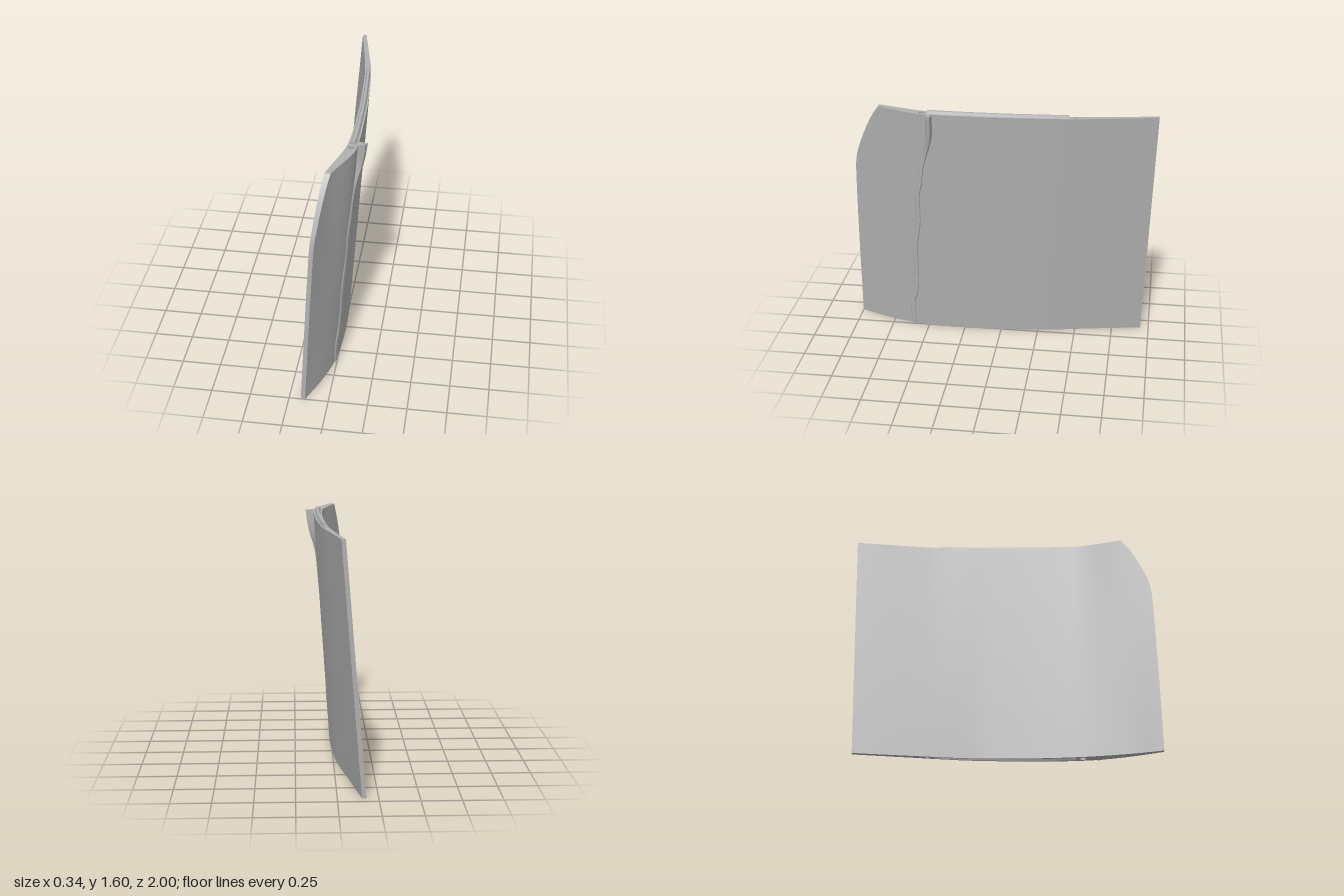
import * as THREE from 'three';

const H = 1.578;
// Plan profiles [z, x] of both faces at the foot and at the top
const P = {
  outer: [
    [[-1.05, -0.168], [-0.6, -0.086], [-0.25, -0.022], [0, 0], [0.2, 0.01], [0.4, 0.008], [0.6, -0.012], [0.8, -0.068], [1, -0.148]],
    [[-1.05, -0.03], [-0.75, 0.026], [-0.48, 0.075], [-0.2, 0.1], [0, 0.111], [0.3, 0.116], [0.45, 0.114], [0.56, 0.1], [0.8, 0], [1, -0.06]]],
  inner: [
    [[-1.05, -0.194], [-0.55, -0.11], [-0.2, -0.06], [0, -0.05], [0.2, -0.05], [0.5, -0.07], [0.8, -0.12], [1, -0.175]],
    [[-1.05, -0.055], [-0.5, 0.032], [-0.25, 0.05], [0, 0.06], [0.3, 0.06], [0.5, 0.045], [0.8, -0.038], [1, -0.085]]],
};
const FRONT = [[0, 1], [0.6, 0.995], [1.1, 0.985], [1.2, 0.975], [1.3, 0.943], [1.4, 0.902], [1.5, 0.852], [H, 0.8]];
const RIDGE = [[0, 0.61], [0.18, 0.612], [0.26, 0.588], [0.4, 0.578], [0.6, 0.578], [0.8, 0.55], [1, 0.548], [1.1, 0.527], [1.2, 0.515], [1.3, 0.487], [1.4, 0.458], [1.48, 0.45], [H, 0.45]];
const RISE = [[0, 0.008], [1.25, 0.01], [1.33, 0.018], [1.4, 0.034], [1.47, 0.046], [H, 0.054]];

// Smooth interpolation through a short list of points
function curve(p, t) {
  const n = p.length - 1;
  let i = 0;
  while (i < n - 1 && t > p[i + 1][0]) i++;
  const slope = (k) => {
    const a = p[Math.max(k - 1, 0)], b = p[Math.min(k + 1, n)];
    return (b[1] - a[1]) / (b[0] - a[0]);
  };
  const d = p[i + 1][0] - p[i][0];
  const s = Math.min(1, Math.max(0, (t - p[i][0]) / d)), s2 = s * s, s3 = s2 * s;
  return (2 * s3 - 3 * s2 + 1) * p[i][1] + (s3 - 2 * s2 + s) * d * slope(i)
    + (3 * s2 - 2 * s3) * p[i + 1][1] + (s3 - s2) * d * slope(i + 1);
}
const faceX = (side, z, y) => THREE.MathUtils.lerp(curve(P[side][0], z), curve(P[side][1], z), y / H);
const zAt = (s, y) => THREE.MathUtils.lerp(-0.945 - 0.055 * y / H, curve(FRONT, y), s);
const mid = (z, y) => (faceX('inner', z, y) + faceX('outer', z, y)) / 2;
const thick = (z, y) => faceX('outer', z, y) - faceX('inner', z, y);

// Surface over u, v in 0..1, facing du x dv
function grid(fn, nu, nv, flat = false) {
  const pos = [], idx = [];
  for (let i = 0; i <= nu; i++) for (let j = 0; j <= nv; j++) pos.push(...fn(i / nu, j / nv));
  for (let i = 0; i < nu; i++) for (let j = 0; j < nv; j++) {
    const a = i * (nv + 1) + j, b = a + nv + 1;
    idx.push(a, b, b + 1, a, b + 1, a + 1);
  }
  let g = new THREE.BufferGeometry();
  g.setAttribute('position', new THREE.Float32BufferAttribute(pos, 3));
  g.setIndex(idx);
  if (flat) g = g.toNonIndexed();
  g.computeVertexNormals();
  return g;
}

export function createModel() {
  const model = new THREE.Group();
  model.name = 'curvedPanel';
  const grey = new THREE.MeshStandardMaterial({ color: 0xb0b0b0, side: THREE.DoubleSide });
  grey.name = 'lightGrey';
  const add = (name, geo) => {
    const m = new THREE.Mesh(geo, grey);
    m.name = name;
    model.add(m);
    return m;
  };

  // Curved faces and narrow end edges
  const NY = 32, NZ = 56;
  add('outerFace', grid((u, v) => {
    const y = u * H, z = zAt(v, y);
    return [faceX('outer', z, y), y, z];
  }, NY, NZ));
  add('innerFace', grid((u, v) => {
    const y = v * H, z = zAt(u, y);
    return [faceX('inner', z, y), y, z];
  }, NZ, NY));
  const edge = (s) => grid((u, v) => {
    const y = v * H, z = zAt(s, y), k = s ? u : 1 - u;
    return [faceX('inner', z, y) + k * thick(z, y), y, z];
  }, 1, NY);
  add('frontEdge', edge(1));
  add('backEdge', edge(0));

  // Tapered tongue on top, and the matching groove underneath
  const Z0 = -0.44, Z1 = 0.46, N = 24;
  const section = [[-1, 0], [-0.55, 0.018], [0.55, 0.018], [1, 0]];
  const tonguePoint = (z, k, y) => [mid(z, y) + section[k][0] * 0.3 * thick(z, y), y + section[k][1], z];
  const tongue = (name, y) => {
    for (let k = 0; k < 3; k++) {
      add(name, grid((u, v) => tonguePoint(THREE.MathUtils.lerp(Z0, Z1, u), k + v, y), N, 1));
    }
    for (const z of [Z0, Z1]) {
      const end = (u, v) => tonguePoint(z, v ? (u ? 2 : 1) : (u ? 3 : 0), y);
      add(name + 'End', grid((u, v) => end(z === Z1 ? u : 1 - u, v), 1, 1));
    }
  };
  tongue('topTongue', H);
  tongue('bottomGroove', 0);

  // Flat top and bottom, pierced by pin holes and the groove
  for (const [name, y, sign] of [['topEdge', H, -1], ['bottomEdge', 0, 1]]) {
    const pts = [];
    for (let i = 0; i <= NZ; i++) pts.push(['outer', zAt(i / NZ, y)]);
    for (let i = NZ; i >= 0; i--) pts.push(['inner', zAt(i / NZ, y)]);
    const shape = new THREE.Shape(pts.map(([s, z]) => new THREE.Vector2(faceX(s, z, y), sign * z)));
    for (const z of [-0.48, 0.5]) {
      const r = 0.3 * thick(z, y), depth = 0.03;
      const hole = new THREE.Path();
      hole.absarc(mid(z, y), sign * z, r, 0, Math.PI * 2, true);
      shape.holes.push(hole);
      const wall = add('pinHole', new THREE.CylinderGeometry(r, r, depth, 24, 1, true));
      wall.position.set(mid(z, y), y + sign * depth / 2, z);
      const floor = add('pinHoleFloor', new THREE.CircleGeometry(r, 24).rotateX(sign * Math.PI / 2));
      floor.position.set(mid(z, y), y + sign * depth, z);
    }
    if (y === 0) {
      const rim = [];
      for (const k of [0, 3]) for (let i = 0; i <= N; i++) {
        const z = THREE.MathUtils.lerp(Z0, Z1, (k ? N - i : i) / N);
        rim.push(new THREE.Vector2(tonguePoint(z, k, y)[0], z));
      }
      shape.holes.push(new THREE.Path(rim));
    }
    add(name, new THREE.ShapeGeometry(shape, 12).rotateX(sign * Math.PI / 2)).position.y = y;
  }

  // Wavy raised seam that flares outward near the top
  const seam = [[-0.022, 0], [-0.015, 1], [0.008, 0.8], [0.02, 0]];
  const seamPoint = (y, k) => {
    const z = curve(RIDGE, y) + seam[k][0], h = curve(RISE, y);
    return [faceX('outer', z, y) + (seam[k][1] ? seam[k][1] * h : -0.004), y, z];
  };
  add('wavySeam', grid((u, v) => seamPoint(u * H, Math.round(v * 3)), 48, 3, true));
  for (const y of [0, H]) {
    const cap = (u, v) => seamPoint(y, u ? (v ? 2 : 1) : (v ? 3 : 0));
    add('seamEnd', grid((u, v) => cap(u, y ? 1 - v : v), 1, 1, true));
  }
  return model;
}
